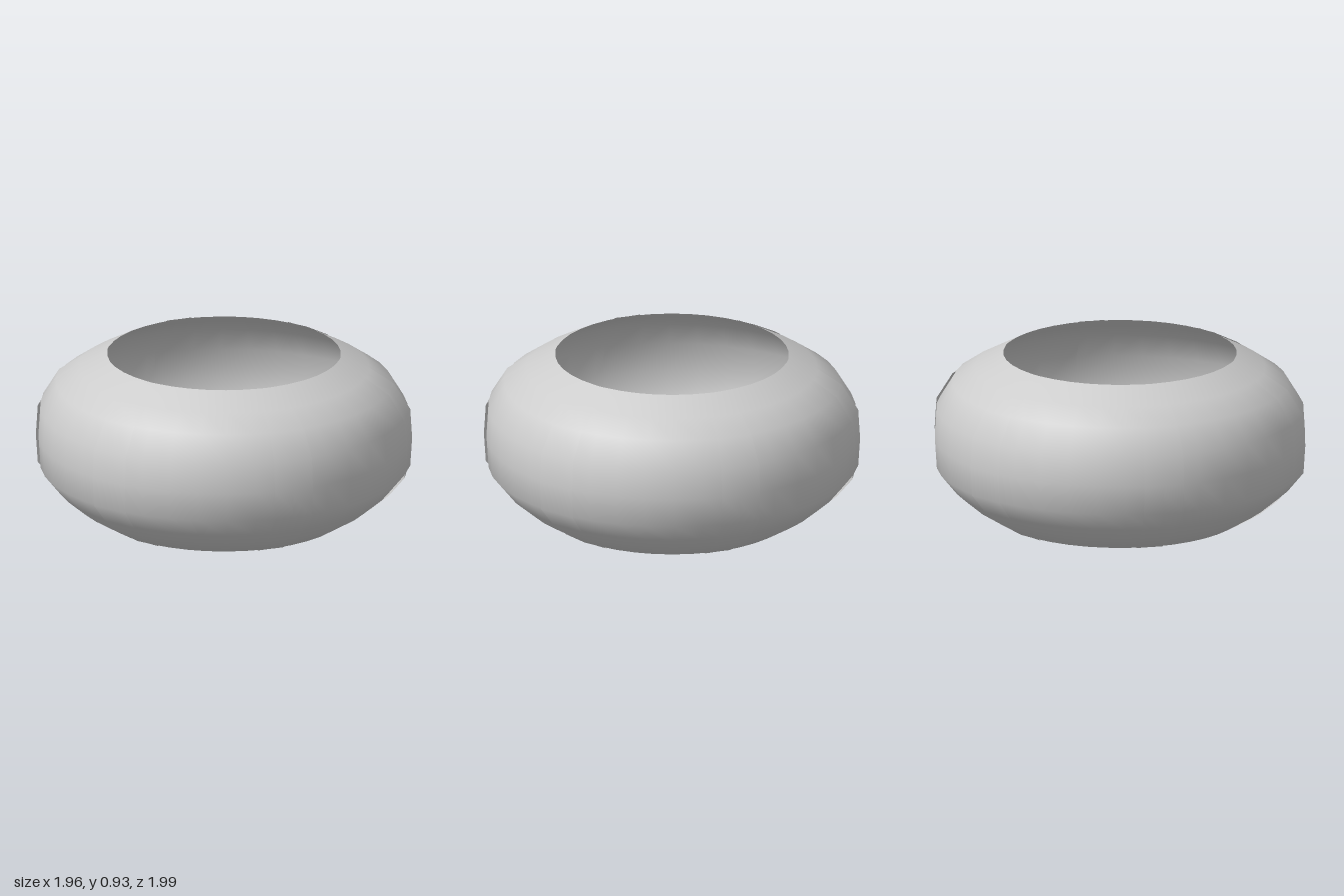
import * as THREE from 'three';

// Half profile (radius, height): from the throat, under the base, out and up to the rim
const PROFILE = [
  [0.07, 0.30], [0.09, 0.20], [0.125, 0.11], [0.165, 0.055], [0.25, 0.015], [0.40, 0],
  [0.65, 0.04], [0.79, 0.125], [0.89, 0.21], [0.975, 0.315], [0.985, 0.47], [0.975, 0.63],
  [0.89, 0.77], [0.77, 0.852], [0.62, 0.93],
].map(([r, y]) => new THREE.Vector2(r, y));

const PANELS = 6;
const STEP = (Math.PI * 2) / PANELS;
const WIDTH = THREE.MathUtils.degToRad(72.5); // wider than a step, so neighbours overlap

// One curved panel whose two side edges lift slightly away from the body
function panelGeometry() {
  const geometry = new THREE.LatheGeometry(PROFILE, 8, 0, WIDTH);
  const pos = geometry.attributes.position;
  for (let i = 0; i < pos.count; i++) {
    const x = pos.getX(i), z = pos.getZ(i);
    const u = (Math.atan2(x, z) / WIDTH) * 2 - 1;
    const scale = 0.998 + 0.014 * u ** 6;
    pos.setX(i, x * scale);
    pos.setZ(i, z * scale);
  }
  return geometry;
}

export function createModel() {
  const model = new THREE.Group();
  model.name = 'openBowl';

  const grey = new THREE.MeshStandardMaterial({ color: 0xcccccc, side: THREE.DoubleSide });
  grey.name = 'light grey';

  // Ring of overlapping panels around the open centre
  const geometry = panelGeometry();
  for (let i = 0; i < PANELS; i++) {
    const panel = new THREE.Mesh(geometry, grey);
    panel.name = `panel${i + 1}`;
    panel.rotation.y = i * STEP;
    model.add(panel);
  }
  return model;
}
